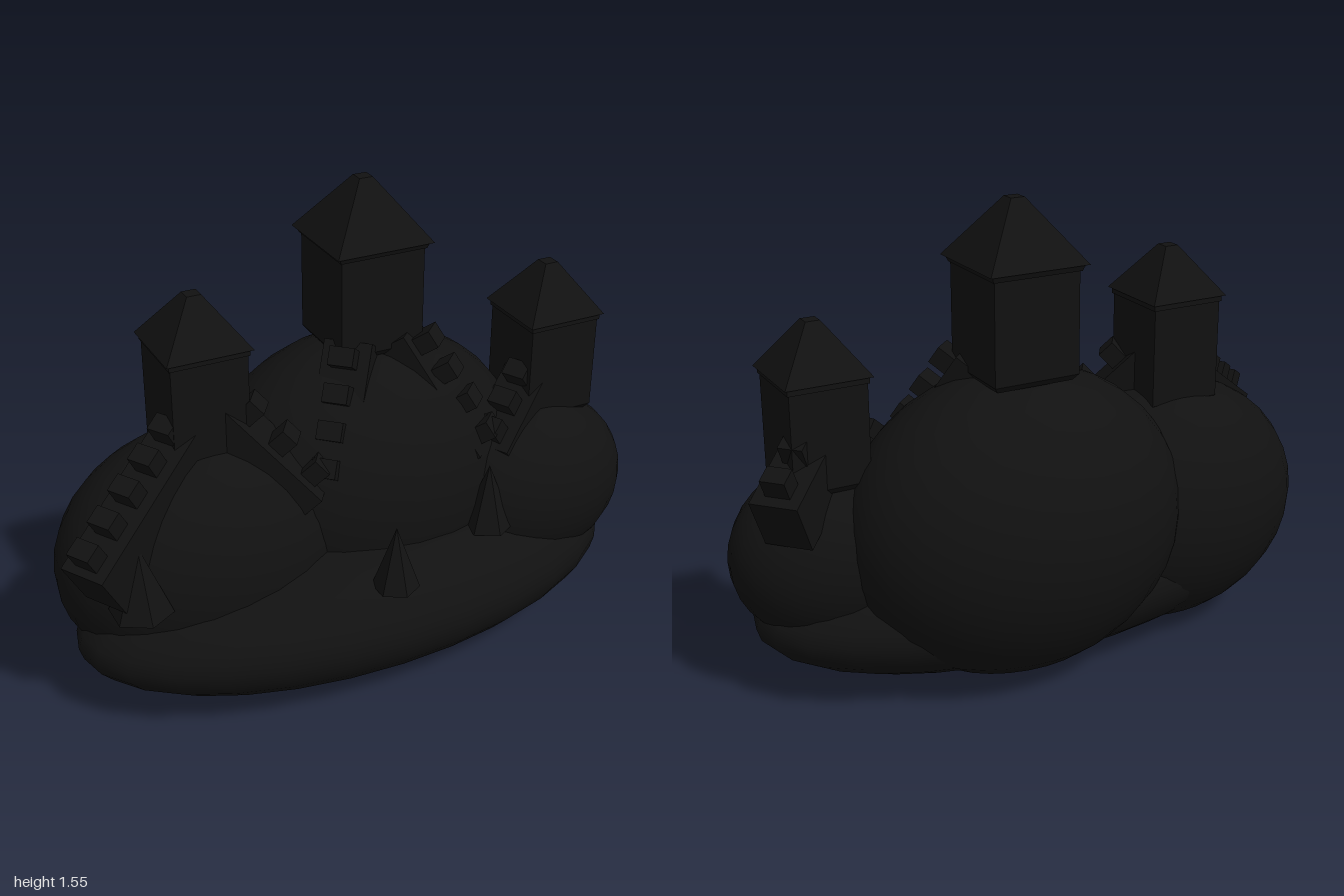
import * as THREE from 'three';

const smooth = new THREE.MeshStandardMaterial({ color: 0x111111 });
const flat = new THREE.MeshStandardMaterial({ color: 0x111111, flatShading: true });

function add(parent, name, geometry, material, x, y, z) {
  const mesh = new THREE.Mesh(geometry, material);
  mesh.name = name;
  mesh.position.set(x, y, z);
  parent.add(mesh);
  return mesh;
}

// Ellipsoid hill
function hill(parent, name, center, radii) {
  const geometry = new THREE.SphereGeometry(1, 28, 18).scale(...radii);
  add(parent, name, geometry, smooth, ...center);
}

// Square tower with a slightly tapered foot, eave slab and blunt pyramid roof
function tower(name, x, z, base, eave, top, width, roofWidth) {
  const g = new THREE.Group();
  g.name = name;
  const square = (topW, bottomW, h) =>
    new THREE.CylinderGeometry(topW / Math.SQRT2, bottomW / Math.SQRT2, h, 4).rotateY(Math.PI / 4);
  const foot = 0.02;
  add(g, 'foot', square(width, width - 0.03, foot), flat, x, base + foot / 2, z);
  add(g, 'body', square(width, width, eave - base - foot), flat, x, (eave + base + foot) / 2, z);
  add(g, 'eave', square(roofWidth - 0.02, width + 0.01, 0.02), flat, x, eave - 0.01, z);
  add(g, 'roof', square(0.045, roofWidth, top - eave), flat, x, (eave + top) / 2, z);
  return g;
}

// Sloping wall whose top centre line runs from a to b, with a row of merlons
function wall(name, a, b, startAt) {
  const g = new THREE.Group();
  g.name = name;
  const end = new THREE.Vector3(...b);
  const start = new THREE.Vector3(...a).lerp(end, startAt);
  const length = start.distanceTo(end);
  const height = 0.18;
  g.position.copy(start);
  g.lookAt(end);
  add(g, 'wallBody', new THREE.BoxGeometry(0.155, height, length), flat, 0, -height / 2, length / 2);
  const count = Math.round(length / 0.12);
  for (let i = 0; i < count; i++) {
    add(g, 'merlon', new THREE.BoxGeometry(0.08, 0.08, 0.06), flat,
      0, 0.025, (length * (i + 0.5)) / count);
  }
  return g;
}

export function createModel() {
  const model = new THREE.Group();
  model.name = 'hilltopCastle';

  // Hills
  hill(model, 'baseHill', [0, 0.25, 0.08], [0.94, 0.25, 0.43]);
  hill(model, 'centreHill', [0.13, 0.52, -0.1], [0.57, 0.5, 0.41]);
  hill(model, 'rightHill', [-0.47, 0.44, -0.02], [0.49, 0.42, 0.34]);
  hill(model, 'leftHill', [0.63, 0.46, 0.1], [0.37, 0.31, 0.265]);

  // Towers
  model.add(
    tower('centreTower', 0.13, -0.105, 1.0, 1.36, 1.55, 0.285, 0.33),
    tower('rightTower', -0.475, -0.02, 0.8, 1.16, 1.315, 0.245, 0.275),
    tower('leftTower', 0.72, 0.055, 0.71, 1.06, 1.22, 0.245, 0.275),
  );

  // Walls: outer spurs, then pairs meeting in the valleys between the hills
  const rightValley = [-0.15, 0.68, 0.2];
  const leftValley = [0.43, 0.68, 0.2];
  model.add(
    wall('rightOuterWall', [-0.475, 0.98, -0.02], [-0.96, 0.645, 0.27], 0.15),
    wall('leftOuterWall', [0.72, 0.89, 0.055], [0.935, 0.745, -0.14], 0.2),
    wall('rightInnerWall', [-0.475, 1.07, -0.02], rightValley, 0.25),
    wall('centreRightWall', [0.13, 1.3, -0.105], rightValley, 0.38),
    wall('centreLeftWall', [0.13, 1.3, -0.105], leftValley, 0.38),
    wall('leftInnerWall', [0.72, 0.95, 0.055], leftValley, 0.25),
  );

  // Cone trees: x, base height, z, radius, height
  for (const [x, y, z, r, h] of [
    [-0.78, 0.45, 0.24, 0.1, 0.23],
    [-0.015, 0.41, 0.415, 0.075, 0.21],
    [0.395, 0.44, 0.28, 0.085, 0.22],
  ]) {
    add(model, 'coneTree', new THREE.ConeGeometry(r, h, 6), flat, x, y + h / 2, z);
  }
  return model;
}
